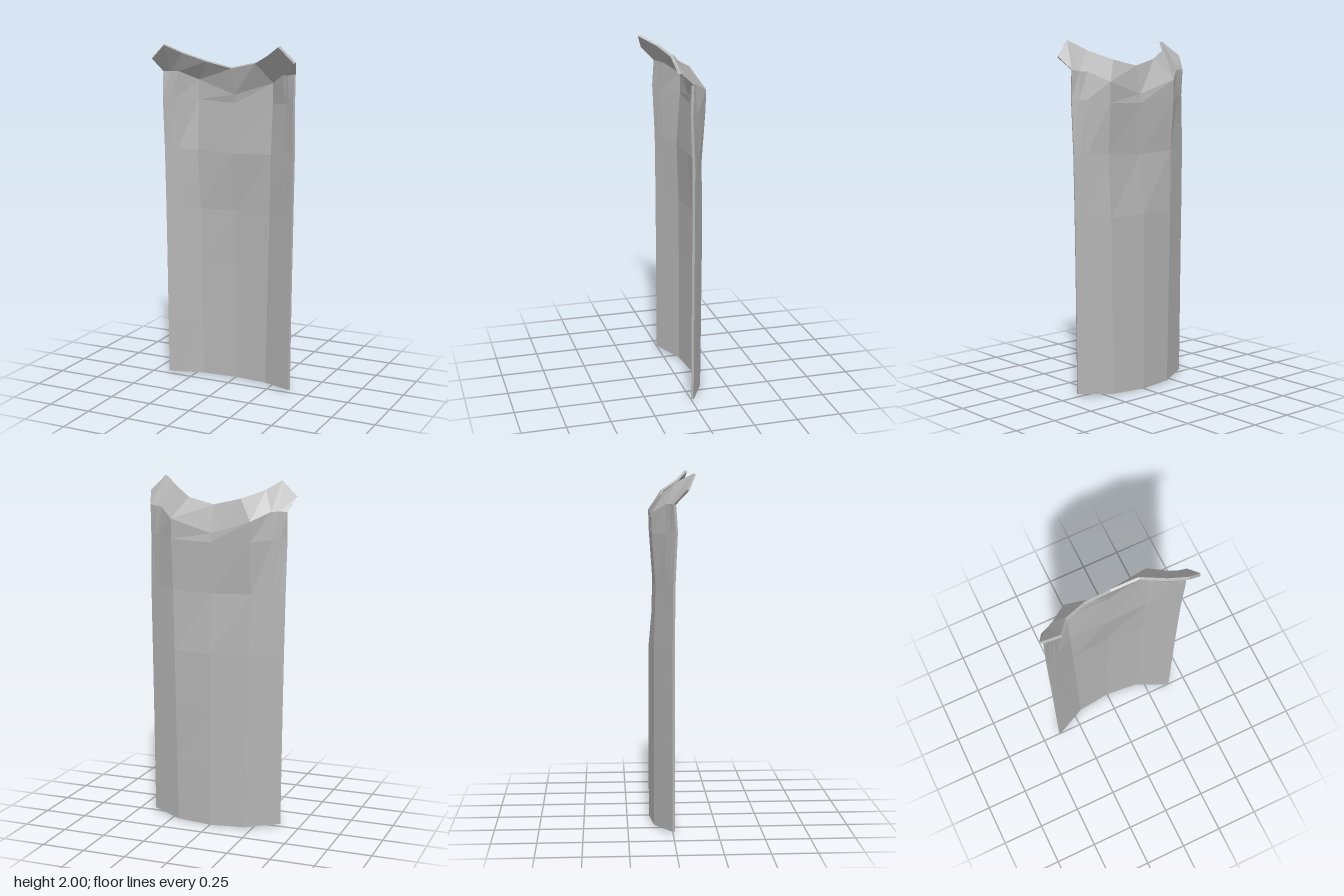
import * as THREE from 'three';

// Body rows, bottom to top: centre [y, z], pleat [x, y, z], side edge [x, y, z]
const BODY = [
  [[0.0, -0.122], [0.205, 0.004, -0.1], [0.394, 0.018, -0.005]],
  [[0.35, -0.122], [0.212, 0.35, -0.1], [0.397, 0.36, -0.005]],
  [[0.69, -0.122], [0.218, 0.69, -0.1], [0.4, 0.7, -0.005]],
  [[1.02, -0.12], [0.224, 1.02, -0.1], [0.404, 1.03, -0.005]],
  [[1.36, -0.09], [0.235, 1.37, -0.09], [0.409, 1.38, -0.003]],
  [[1.65, -0.1], [0.236, 1.66, -0.11], [0.412, 1.68, 0.01]],
];

// Collar fold and rim, from the -x side to the +x side
const FOLD = [
  [-0.412, 1.825, 0], [-0.37, 1.827, -0.015], [-0.33, 1.825, -0.035], [-0.236, 1.775, -0.113],
  [0, 1.7, -0.092],
  [0.236, 1.775, -0.113], [0.33, 1.83, -0.025], [0.37, 1.832, -0.008], [0.412, 1.84, 0.005],
];
const RIM = [
  [-0.447, 1.905, 0.068], [-0.345, 1.988, 0.11], [-0.28, 1.94, 0.02], [-0.152, 1.892, -0.036],
  [0, 1.857, -0.055],
  [0.156, 1.892, -0.04], [0.272, 1.945, 0.05], [0.362, 2.0, 0.11], [0.445, 1.912, 0.085],
];

// Expand one body row to nine points, mirrored about x = 0
function bodyRow([[cy, cz], pleat, edge]) {
  const mix = (t) => pleat.map((v, k) => v + (edge[k] - v) * t);
  const half = [pleat, mix(0.62), mix(0.8), edge];
  const mirrored = half.map(([x, y, z]) => [-x, y, z]).reverse();
  return [...mirrored, [0, cy, cz], ...half];
}

// Closed shell between a back grid and a front grid
function shellGeometry(back, front) {
  const pos = [];
  const quad = (a, b, c, d) => pos.push(...a, ...b, ...c, ...a, ...c, ...d);
  const rows = back.length - 1;
  const cols = back[0].length - 1;
  for (let i = 0; i < rows; i++) {
    for (let j = 0; j < cols; j++) {
      quad(front[i][j], front[i][j + 1], front[i + 1][j + 1], front[i + 1][j]);
      quad(back[i][j + 1], back[i][j], back[i + 1][j], back[i + 1][j + 1]);
    }
    // side hems
    quad(back[i][0], front[i][0], front[i + 1][0], back[i + 1][0]);
    quad(front[i][cols], back[i][cols], back[i + 1][cols], front[i + 1][cols]);
  }
  for (let j = 0; j < cols; j++) {
    // bottom hem and top rim
    quad(back[0][j], back[0][j + 1], front[0][j + 1], front[0][j]);
    quad(front[rows][j], front[rows][j + 1], back[rows][j + 1], back[rows][j]);
  }
  const geo = new THREE.BufferGeometry();
  geo.setAttribute('position', new THREE.Float32BufferAttribute(pos, 3));
  geo.computeVertexNormals(); // unshared corners keep the facets flat
  return geo;
}

export function createModel() {
  const group = new THREE.Group();
  group.name = 'cape';
  const cloth = new THREE.MeshStandardMaterial({ color: 0xb4b4b4 });
  cloth.name = 'grey cloth';

  const back = [...BODY.map(bodyRow), FOLD, RIM];
  // Inner face: shifted forward and slightly inward; lowered along the collar
  const front = back.map((row, i) =>
    row.map(([x, y, z]) => [x * 0.985, y - (i === back.length - 1 ? 0.006 : 0), z + 0.013]));

  const fold = BODY.length;
  const addPart = (name, from, to) => {
    const mesh = new THREE.Mesh(shellGeometry(back.slice(from, to), front.slice(from, to)), cloth);
    mesh.name = name;
    group.add(mesh);
  };
  addPart('capeBody', 0, fold + 1);
  addPart('collar', fold, fold + 2);
  return group;
}
